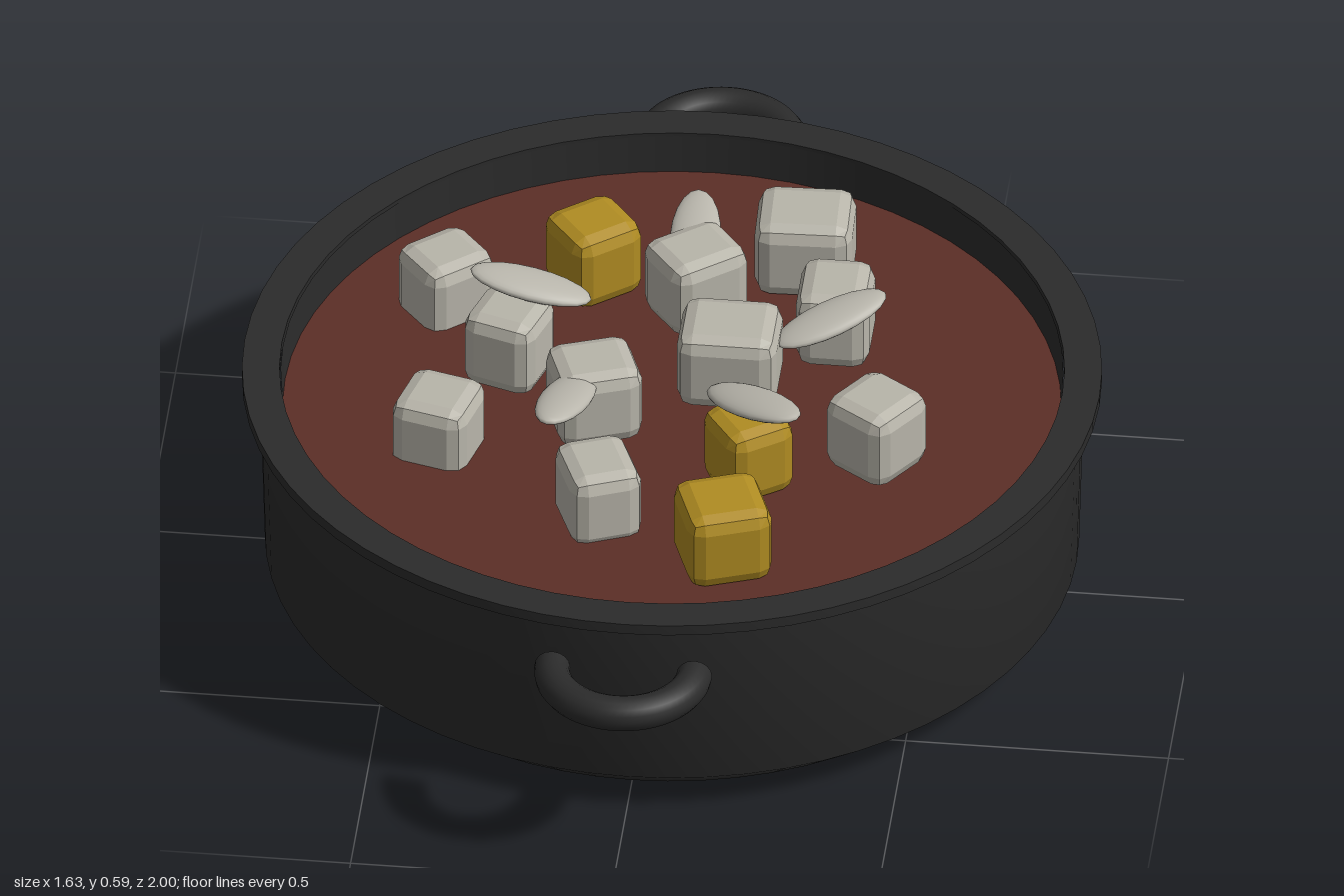
import * as THREE from 'three';
import { RoundedBoxGeometry } from 'three/addons/geometries/RoundedBoxGeometry.js';
import { toCreasedNormals } from 'three/addons/utils/BufferGeometryUtils.js';

function material(name, color, extra = {}) {
  const m = new THREE.MeshStandardMaterial({ color, ...extra });
  m.name = name;
  return m;
}

export function createModel() {
  const group = new THREE.Group();
  const iron = material('castIron', 0x2b2b2b);
  const broth = material('redBroth', 0x5c2e27);
  const pale = material('paleGrey', 0xb8b5aa, { flatShading: true });
  const seed = material('paleSeed', 0xb9b6ac);
  const gold = material('gold', 0xb08c22, { flatShading: true });

  const add = (name, geometry, mat, parent = group) => {
    const mesh = new THREE.Mesh(geometry, mat);
    mesh.name = name;
    parent.add(mesh);
    return mesh;
  };
  const lathe = (points) =>
    new THREE.LatheGeometry(points.map(([r, y]) => new THREE.Vector2(r, y)), 64);

  // Pot: chamfered base with slightly flared walls, and the inner wall
  add('potBody', lathe([[0.68, 0], [0.77, 0.075], [0.78, 0.45]]), iron);
  add('potBase', new THREE.CircleGeometry(0.68, 64).rotateX(Math.PI / 2), iron);
  add('innerWall', lathe([[0.74, 0.46], [0.735, 0.36]]), iron);

  // Flat rim ring
  const ring = new THREE.Shape().absarc(0, 0, 0.813, 0, Math.PI * 2);
  ring.holes.push(new THREE.Path().absarc(0, 0, 0.742, 0, Math.PI * 2, true));
  const rim = new THREE.ExtrudeGeometry(ring, { depth: 0.022, bevelEnabled: false, curveSegments: 32 });
  add('rim', toCreasedNormals(rim.rotateX(-Math.PI / 2), 0.6), iron).position.y = 0.444;

  // Broth surface
  add('broth', new THREE.CircleGeometry(0.736, 64).rotateX(-Math.PI / 2), broth).position.y = 0.38;

  // Half-ring handles at front and back
  for (const side of [1, -1]) {
    const handle = new THREE.Group();
    handle.name = side > 0 ? 'frontHandle' : 'backHandle';
    handle.position.set(0, 0.37, 0.83 * side);
    handle.rotation.y = side > 0 ? 0 : Math.PI;
    add('handleArc', new THREE.TorusGeometry(0.135, 0.034, 16, 32, Math.PI).rotateX(Math.PI / 2), iron, handle);
    for (const x of [-0.135, 0.135]) {
      add('handleEnd', new THREE.CircleGeometry(0.034, 16).rotateY(Math.PI), iron, handle).position.x = x;
    }
    group.add(handle);
  }

  // Chamfered chunks: x, z, top height, width, depth, turn in degrees, golden
  const chunks = [
    [0.205, -0.44, 0.535, 0.185, 0.165, 2],
    [-0.19, -0.365, 0.535, 0.15, 0.145, 38, true],
    [-0.46, -0.27, 0.51, 0.15, 0.14, 40],
    [0.02, -0.23, 0.59, 0.165, 0.145, 38],
    [0.29, -0.19, 0.56, 0.14, 0.16, 0],
    [-0.315, -0.05, 0.55, 0.145, 0.14, -18],
    [0.11, 0, 0.59, 0.19, 0.165, 0],
    [-0.425, 0.17, 0.505, 0.15, 0.15, -15],
    [-0.135, 0.12, 0.57, 0.165, 0.15, 20],
    [0.405, 0.145, 0.545, 0.15, 0.15, -35],
    [0.17, 0.22, 0.535, 0.14, 0.14, 35, true],
    [-0.1, 0.365, 0.52, 0.14, 0.16, 22],
    [0.15, 0.48, 0.535, 0.165, 0.165, 20, true],
  ];
  const height = 0.16;
  for (const [x, z, top, w, d, turn, golden] of chunks) {
    const chunk = add(golden ? 'goldenChunk' : 'paleChunk',
      new RoundedBoxGeometry(w, height, d, 1, 0.03), golden ? gold : pale);
    chunk.position.set(x, top - height / 2, z);
    chunk.rotation.y = THREE.MathUtils.degToRad(turn);
  }

  // Flat seeds on top, tilted up towards the outside: x, z, direction x, direction z
  const seeds = [
    [-0.28, -0.105, -1, -0.04],
    [0.295, -0.06, 36, -23],
    [0.18, 0.22, 37, 29],
    [-0.175, 0.245, -0.22, 1],
    [0.012, -0.29, -0.05, -1],
  ];
  const seedShape = new THREE.SphereGeometry(1, 20, 14).scale(0.118, 0.018, 0.048);
  for (const [x, z, dx, dz] of seeds) {
    const mesh = add('seed', seedShape, seed);
    mesh.position.set(x, 0.563, z);
    mesh.rotation.set(0, Math.atan2(-dz, dx), 0.2, 'YXZ');
  }
  return group;
}
